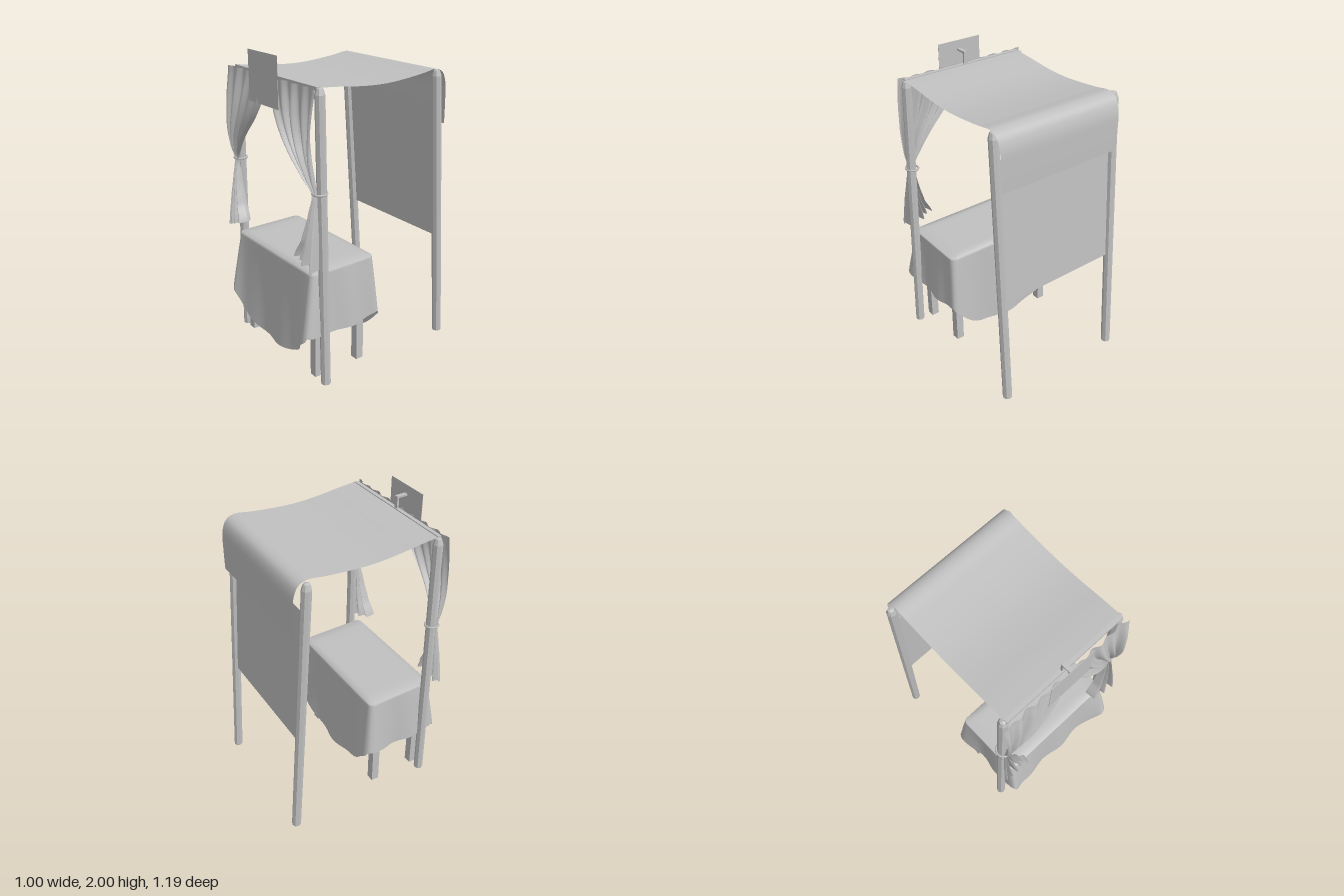
import * as THREE from 'three';

const grey = new THREE.MeshStandardMaterial({ color: 0xc0c0c0, side: THREE.DoubleSide });
grey.name = 'plain grey';

function add(parent, geometry, name, x = 0, y = 0, z = 0) {
  const mesh = new THREE.Mesh(geometry, grey);
  mesh.name = name;
  mesh.position.set(x, y, z);
  parent.add(mesh);
  return mesh;
}

const box = (w, h, d) => new THREE.BoxGeometry(w, h, d);

// Smooth sheet: f(u, v) returns [x, y, z]
function sheet(f, nu, nv, closed = false) {
  const pos = [], index = [];
  const cols = closed ? nu : nu + 1;
  for (let j = 0; j <= nv; j++)
    for (let i = 0; i < cols; i++) pos.push(...f(i / nu, j / nv));
  for (let j = 0; j < nv; j++)
    for (let i = 0; i < nu; i++) {
      const a = j * cols + i, b = j * cols + (i + 1) % cols;
      index.push(a, a + cols, b, b, a + cols, b + cols);
    }
  const g = new THREE.BufferGeometry();
  g.setAttribute('position', new THREE.Float32BufferAttribute(pos, 3));
  g.setIndex(index);
  g.computeVertexNormals();
  return g;
}

// Interpolates rows [y, a, b, ...] (descending y) smoothly
function sampleRows(rows, y) {
  let i = 0;
  while (i < rows.length - 2 && y < rows[i + 1][0]) i++;
  const k = THREE.MathUtils.clamp((rows[i][0] - y) / (rows[i][0] - rows[i + 1][0]), 0, 1);
  return rows[i].map((a, n) => {
    const p0 = rows[Math.max(i - 1, 0)][n], p1 = rows[i + 1][n];
    const p2 = rows[Math.min(i + 2, rows.length - 1)][n];
    const m0 = (p1 - p0) / 2, m1 = (p2 - a) / 2, k2 = k * k, k3 = k2 * k;
    return (2 * k3 - 3 * k2 + 1) * a + (k3 - 2 * k2 + k) * m0 + (3 * k2 - 2 * k3) * p1 + (k3 - k2) * m1;
  });
}

// Eight-sided pole with a chamfered top, skewed from foot to head
function pole(foot, head) {
  const profile = [[0, 0], [0.031, 0], [0.031, 1.82], [0.02, 1.855], [0, 1.862]];
  const g = new THREE.LatheGeometry(profile.map(p => new THREE.Vector2(...p)), 8).toNonIndexed();
  const p = g.attributes.position;
  for (let i = 0; i < p.count; i++) {
    const t = p.getY(i) / 1.86;
    p.setX(i, p.getX(i) + foot[0] + (head[0] - foot[0]) * t);
    p.setZ(i, p.getZ(i) + foot[1] + (head[1] - foot[1]) * t);
  }
  g.computeVertexNormals();
  return g;
}

// Curtain rows: y, outer x, inner x, middle z, fold depth
const curtainRows = [
  [1.86, 0.47, 0.0, 0.487, 0.012],
  [1.69, 0.468, 0.06, 0.505, 0.022],
  [1.58, 0.465, 0.135, 0.512, 0.026],
  [1.46, 0.463, 0.245, 0.512, 0.028],
  [1.33, 0.46, 0.355, 0.495, 0.022],
  [1.25, 0.455, 0.412, 0.478, 0.012],
  [1.15, 0.462, 0.402, 0.482, 0.024],
  [1.0, 0.475, 0.365, 0.492, 0.04],
  [0.78, 0.488, 0.3, 0.505, 0.055],
];

function curtain(s) {
  return sheet((u, v) => {
    const y = 1.86 - 1.08 * v;
    const [, outer, inner, z, fold] = sampleRows(curtainRows, y);
    const hem = Math.max(0, (0.95 - y) / 0.17) * 0.07 * u;
    const wave = Math.sin(u * Math.PI * 9 + 0.6) * 0.7 + Math.sin(u * Math.PI * 5 + s) * 0.3;
    return [s * (outer + (inner - outer) * u) - 0.01, y + hem, z + fold * wave];
  }, 64, 54);
}

// Tablecloth: long rounded drapes front and back, short ones at the sides
function tablecloth() {
  const hx = 0.425, hz = 0.235, cz = 0.262, r = 0.035;
  const outline = [];
  const corners = [[1, 1], [-1, 1], [-1, -1], [1, -1]];
  corners.forEach(([sx, sz], c) => {
    const [nx, nz] = corners[(c + 1) % 4];
    for (let i = 0; i <= 8; i++) {
      const a = (c + i / 8) * Math.PI / 2;
      outline.push([sx * (hx - r) + r * Math.cos(a), sz * (hz - r) + r * Math.sin(a), Math.cos(a), Math.sin(a)]);
    }
    const a = (c + 1) * Math.PI / 2, steps = nx !== sx ? 28 : 16;
    for (let i = 1; i < steps; i++) {
      const t = i / steps;
      outline.push([
        (sx + (nx - sx) * t) * (hx - r) + r * Math.cos(a),
        (sz + (nz - sz) * t) * (hz - r) + r * Math.sin(a), Math.cos(a), Math.sin(a)]);
    }
  });
  const n = outline.length;
  return sheet((u, v) => {
    const [x, z, nx, nz] = outline[Math.round(u * n) % n];
    if (v < 0.25) { // flat top, growing from the middle
      const k = v / 0.25 * 0.97;
      return [x * k, 0.75, cz + z * k];
    }
    const t = (v - 0.25) / 0.75;
    const ax = Math.min(1, Math.abs(x) / hx), az = Math.min(1, Math.abs(z) / hz);
    const along = Math.abs(nz) > 0.72;
    const hem = along ? 0.11 + 0.25 * Math.pow(ax, 3.2) : 0.32 + 0.04 * Math.pow(az, 3);
    const corner = Math.pow(Math.min(ax, 1) * az, 5);
    const ripple = 0.012 * Math.sin(x * 19 + z * 23 + 1) * t;
    const front = z > 0 ? 1 : 0.35;
    const out = 0.022 * t + ripple;
    const drop = Math.pow(t, 1.1);
    return [
      x + nx * out + Math.sign(x) * corner * 0.03 * t,
      0.743 + (hem - 0.743) * drop,
      cz + z + nz * out + Math.sign(z) * corner * 0.085 * front * t];
  }, n, 28, true);
}

export function createModel() {
  const model = new THREE.Group();
  model.name = 'marketStall';

  // Frame
  add(model, pole([0.47, 0.44], [0.43, 0.44]), 'frontLeftPole');
  add(model, pole([-0.47, 0.44], [-0.44, 0.44]), 'frontRightPole');
  add(model, pole([0.43, -0.568], [0.43, -0.442]), 'backLeftPole');
  add(model, pole([-0.455, -0.568], [-0.455, -0.442]), 'backRightPole');
  add(model, box(0.87, 0.025, 0.025), 'frontRail', 0, 1.853, 0.452);

  // Sagging roof cloth that folds down behind the back poles
  const roofCurve = new THREE.CatmullRomCurve3([
    [1.86, 0.44], [1.85, 0.32], [1.832, 0.15], [1.825, 0], [1.832, -0.15], [1.85, -0.32],
    [1.864, -0.43], [1.84, -0.485], [1.77, -0.515], [1.65, -0.521], [1.51, -0.522],
  ].map(([y, z]) => new THREE.Vector3(0, y, z)));
  add(model, sheet((u, v) => {
    const p = roofCurve.getPoint(v);
    return [-0.435 + 0.875 * u, p.y, p.z];
  }, 1, 50), 'roofCloth');

  // Back panel, sloping with the poles
  add(model, sheet((u, v) => [-0.435 + 0.87 * u, 1.66 - 0.93 * v, -0.456 - 0.067 * v], 1, 1), 'backPanel');

  // Sign board on its bracket
  const sign = new THREE.Group();
  sign.name = 'sign';
  sign.position.x = -0.015;
  add(sign, box(0.315, 0.31, 0.002), 'signBoard', -0.003, 1.845, 0.52);
  add(sign, box(0.025, 0.09, 0.013), 'bracketPost', 0, 1.9, 0.451);
  add(sign, box(0.025, 0.012, 0.076), 'bracketArm', 0, 1.939, 0.482);
  model.add(sign);

  // Curtains and their tie rings
  for (const s of [1, -1]) {
    const side = s > 0 ? 'left' : 'right';
    add(model, curtain(s), side + 'Curtain');
    const ring = add(model, new THREE.TorusGeometry(0.04, 0.007, 6, 20), side + 'CurtainTie', s * 0.442 - 0.008, 1.252, 0.447);
    ring.rotation.x = Math.PI / 2;
    ring.scale.y = 1.05;
  }

  // Table
  const table = new THREE.Group();
  table.name = 'table';
  add(table, tablecloth(), 'tablecloth');
  for (const x of [0.358, -0.385])
    for (const z of [0.1, 0.43]) add(table, box(0.054, 0.74, 0.054), 'tableLeg', x, 0.37, z);
  model.add(table);

  return model;
}
